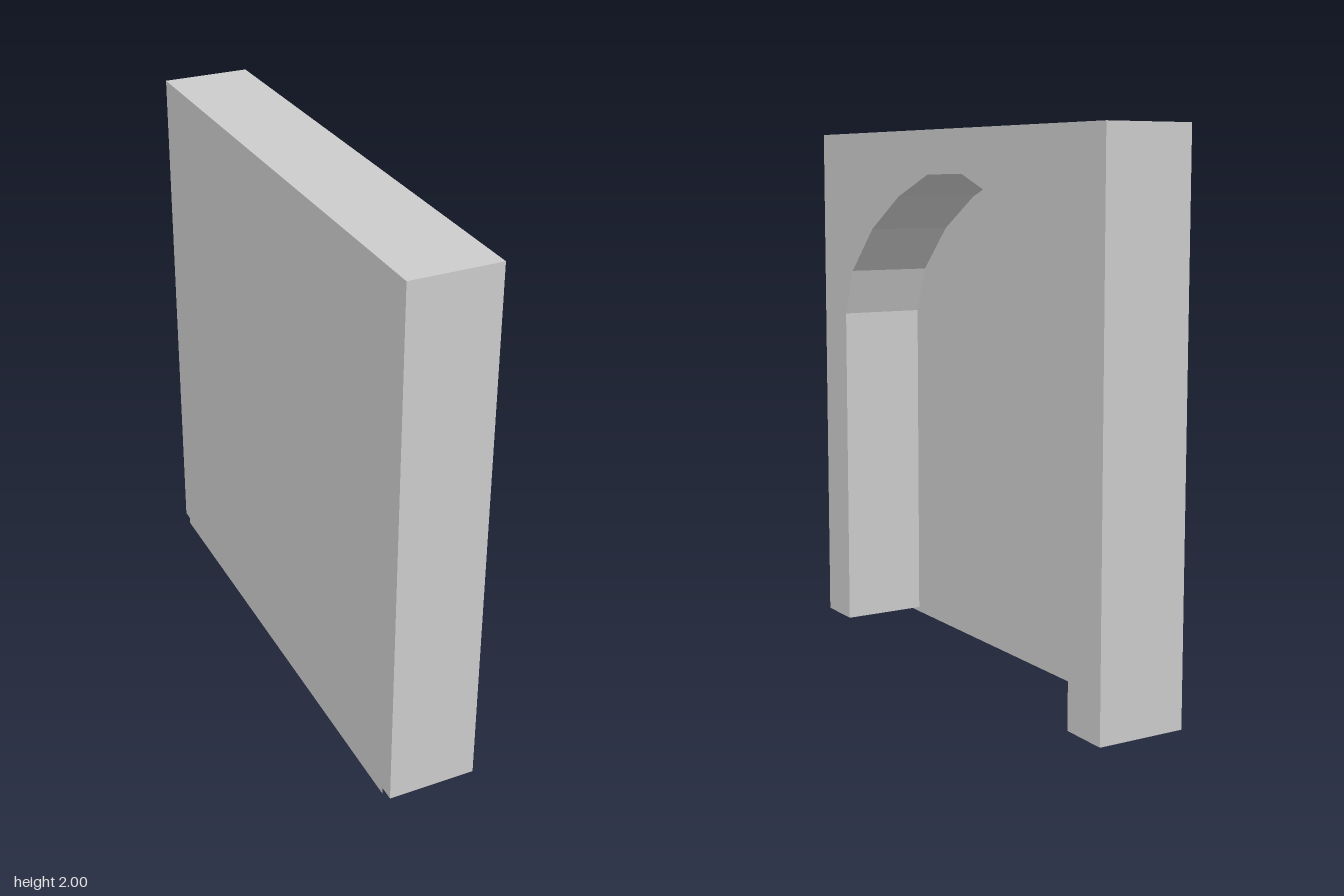
import * as THREE from 'three';

export function createModel() {
  const model = new THREE.Group();
  model.name = 'archedDoorway';
  const material = new THREE.MeshStandardMaterial({ color: 0xcccccc, flatShading: true });

  const halfWidth = 0.99, bottom = 0.02, top = 2, front = 0.166, back = -0.163;

  // One side of the faceted arch opening, from foot to crown
  const side = [[0.805, bottom], [0.805, 1.285], [0.74, 1.46], [0.567, 1.63], [0.35, 1.757], [0.122, 1.84]];
  const mirrored = side.map(([u, y]) => [-u, y]).reverse();

  // Wall outline with the arch cut up from the bottom
  const outline = [
    [halfWidth, bottom], [halfWidth, top], [-halfWidth, top], [-halfWidth, bottom],
    ...mirrored.reverse(), ...side.slice().reverse(),
  ].map(([u, y]) => new THREE.Vector2(u, y));

  // Wall with the opening, thickness running along x
  const wallGeometry = new THREE.ExtrudeGeometry(new THREE.Shape(outline), {
    depth: front - back, bevelEnabled: false,
  });
  wallGeometry.rotateY(Math.PI / 2);
  wallGeometry.translate(back, 0, 0);
  const wall = new THREE.Mesh(wallGeometry, material);
  wall.name = 'archWall';
  model.add(wall);

  // Thin panel closing the back of the opening, reaching the ground
  const panelMaterial = material.clone();
  panelMaterial.side = THREE.DoubleSide;
  const panel = new THREE.Mesh(new THREE.PlaneGeometry(1.88, 1.87), panelMaterial);
  panel.name = 'backPanel';
  panel.rotation.y = -Math.PI / 2;
  panel.position.set(-front, 1.87 / 2, 0);
  model.add(panel);

  return model;
}
